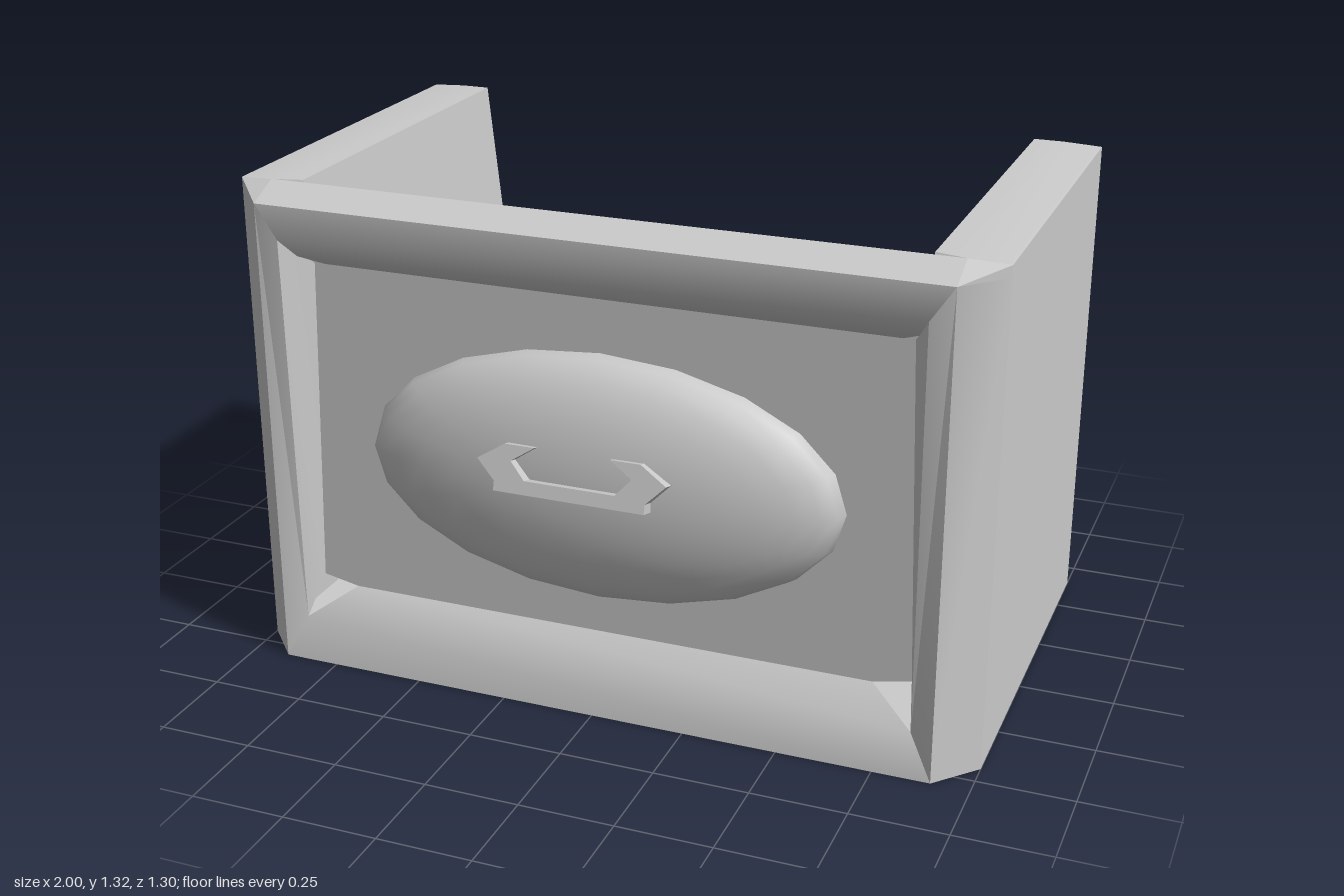
import * as THREE from 'three';
import { toCreasedNormals } from 'three/addons/utils/BufferGeometryUtils.js';

const grey = new THREE.MeshStandardMaterial({ color: 0xcccccc, side: THREE.DoubleSide });

// Skin through rows of [x, y, z] points, all rows of equal length
function loft(rows, crease = 0.4) {
  const n = rows[0].length, index = [];
  for (let r = 0; r < rows.length - 1; r++) {
    for (let c = 0; c < n - 1; c++) {
      const a = r * n + c;
      index.push(a, a + 1, a + n, a + 1, a + n + 1, a + n);
    }
  }
  const geometry = new THREE.BufferGeometry();
  geometry.setAttribute('position', new THREE.Float32BufferAttribute(rows.flat(2), 3));
  geometry.setIndex(index);
  geometry.computeVertexNormals();
  return toCreasedNormals(geometry, crease);
}

// Skin symmetric about x = 0, from [halfWidth, y, z] points
const band = (points, crease) =>
  loft(points.map(([x, y, z]) => [[-x, y, z], [x, y, z]]), crease);

const outline = (points) => new THREE.Shape(points.map(([x, y]) => new THREE.Vector2(x, y)));

export function createModel() {
  const model = new THREE.Group();
  const add = (name, geometry, parent = model) => {
    const mesh = new THREE.Mesh(geometry, grey);
    mesh.name = name;
    parent.add(mesh);
    return mesh;
  };

  // Hollow side walls, corner posts and their caps
  for (const s of [1, -1]) {
    const side = new THREE.Group();
    side.name = s > 0 ? 'leftSide' : 'rightSide';
    model.add(side);
    const flip = (rows) => rows.map((row) => row.map(([x, y, z]) => [s * x, y, z]));

    add('sideWall', loft(flip([
      [[1, 0, -0.65], [1, 1.31, -0.65], [0.9, 1.32, -0.63], [0.82, 1.32, -0.63], [0.71, 0.28, -0.63]],
      [[1, 0, 0.44], [1, 1.31, 0.44], [0.9, 1.32, 0.46], [0.82, 1.32, 0.44], [0.71, 0.28, 0.4]],
    ])), side);

    add('cornerPost', loft(flip([
      [[1, 0, 0.44], [0.9, 0, 0.55], [0.84, 0.12, 0.53], [0.82, 0.22, 0.46]],
      [[1, 1.28, 0.44], [0.9, 1.28, 0.55], [0.84, 1.19, 0.55], [0.79, 1.11, 0.46]],
    ]), 1), side);

    add('cornerCap', loft(flip([
      [[1, 1.28, 0.44], [0.9, 1.28, 0.55]],
      [[1, 1.31, 0.44], [0.9, 1.32, 0.46]],
    ])), side);
  }

  // Bottom plate with chamfered front corners
  const plate = outline([
    [-1, 0.65], [-0.9, 0.63], [0.9, 0.63], [1, 0.65],
    [1, -0.44], [0.9, -0.55], [-0.9, -0.55], [-1, -0.44],
  ]);
  add('bottomPlate', new THREE.ShapeGeometry(plate).rotateX(-Math.PI / 2));

  // Inner floor running smoothly into the inner front wall and rim
  add('innerFloorAndWall', band([
    [0.71, 0.28, -0.63], [0.71, 0.28, 0.4], [0.8, 1.1, 0.395], [0.82, 1.22, 0.41], [0.9, 1.32, 0.46],
  ], 1.7));

  // Front frame around the recess
  add('rimBevel', band([[0.9, 1.32, 0.46], [0.9, 1.28, 0.55]]));
  add('topBeam', band([
    [0.9, 1.28, 0.55], [0.84, 1.19, 0.55], [0.81, 1.14, 0.51], [0.76, 1.11, 0.46],
  ], 1));
  add('bottomLip', band([[0.9, 0, 0.55], [0.84, 0.12, 0.53], [0.72, 0.2, 0.46]], 1));

  // Recessed front panel
  const panel = outline([[-0.72, 0.2], [0.72, 0.2], [0.82, 0.22], [0.82, 1.13], [-0.82, 1.13], [-0.82, 0.22]]);
  add('frontPanel', new THREE.ShapeGeometry(panel)).position.z = 0.46;

  // Oval dome on the panel
  const dome = new THREE.SphereGeometry(1, 20, 8, 0, Math.PI * 2, 0, Math.PI / 2);
  dome.rotateX(Math.PI / 2).scale(0.64, 0.33, 0.155);
  add('ovalDome', dome).position.set(0, 0.64, 0.46);

  // Bracket-shaped handle, leaning back at the top
  const half = [[0.2, 0], [0.2, 0.025], [0.25, 0.075], [0.18, 0.12], [0.1, 0.12], [0.16, 0.08], [0.12, 0.035]];
  const mirrored = half.map(([x, y]) => [-x, y]).reverse();
  const handle = add('handle', new THREE.ExtrudeGeometry(outline([...half, ...mirrored]), {
    depth: 0.05, bevelEnabled: false,
  }));
  handle.position.set(-0.01, 0.635, 0.605);
  handle.rotation.x = -0.27;

  return model;
}
